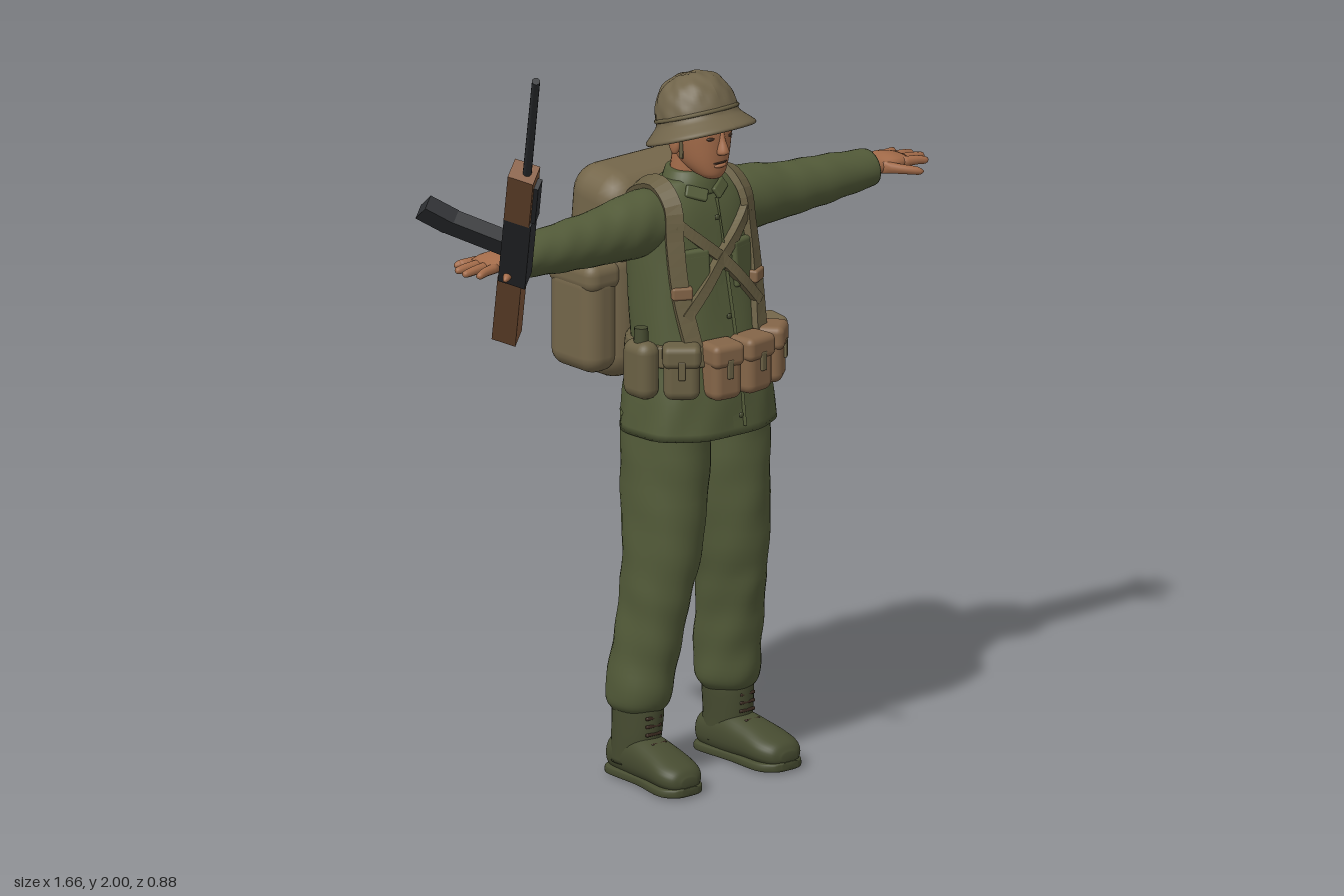
import * as THREE from 'three';
import { RoundedBoxGeometry } from 'three/addons/geometries/RoundedBoxGeometry.js';

const material = (name, color) => {
  const m = new THREE.MeshStandardMaterial({ color });
  m.name = name;
  return m;
};

// Axis maps for lofts: section position t, then the two directions across it
const UP = (t, u, v) => [u, t, v];
const SIDE = (t, u, v) => [t, v, u];
const FORWARD = (t, u, v) => [v, u, t];

// Smooth skin over superellipse sections [t, u, v, radiusU, radiusV]
function loft(sections, map, { power = 2, sides = 32, steps = 6, wrinkle = () => 0 } = {}) {
  const curve = (f) => new THREE.CatmullRomCurve3(sections.map(f), false, 'catmullrom', 0.5);
  const centre = curve((s) => new THREE.Vector3(s[0], s[1], s[2]));
  const radius = curve((s) => new THREE.Vector3(s[3], s[4], 0));
  const n = (sections.length - 1) * steps, pos = [], idx = [];
  const round = (c) => Math.sign(c) * Math.abs(c) ** (2 / power);
  for (let i = 0; i <= n; i++) {
    const c = centre.getPoint(i / n), r = radius.getPoint(i / n);
    for (let j = 0; j < sides; j++) {
      const a = (j / sides) * Math.PI * 2, k = 1 + wrinkle(a, c.x);
      pos.push(...map(c.x, c.y + r.x * k * round(Math.cos(a)), c.z + r.y * k * round(Math.sin(a))));
      if (i < n) {
        const p = i * sides + j, q = i * sides + (j + 1) % sides;
        idx.push(p, p + sides, q, q, p + sides, q + sides);
      }
    }
  }
  const first = pos.length / 3, last = n * sides;
  pos.push(...map(...sections[0].slice(0, 3)), ...map(...sections.at(-1).slice(0, 3)));
  for (let j = 0; j < sides; j++) {
    const k = (j + 1) % sides;
    idx.push(first, j, k, first + 1, last + k, last + j);
  }
  const g = new THREE.BufferGeometry();
  g.setAttribute('position', new THREE.Float32BufferAttribute(pos, 3));
  g.setIndex(idx);
  g.computeVertexNormals();
  return g;
}

// Copy of an indexed geometry reflected in x
function reflect(geometry) {
  const g = geometry.clone().scale(-1, 1, 1), a = g.index.array;
  for (let i = 0; i < a.length; i += 3) [a[i], a[i + 1]] = [a[i + 1], a[i]];
  g.computeVertexNormals();
  return g;
}

// Jacket sections [y, x, z, half width, half depth]
const JACKET = [
  [0.85, 0, -0.1, 0.19, 0.148], [0.95, 0, -0.1, 0.18, 0.138], [1.04, 0, -0.1, 0.165, 0.12],
  [1.15, 0, -0.115, 0.165, 0.112], [1.27, 0, -0.125, 0.165, 0.1], [1.36, 0, -0.13, 0.16, 0.088],
  [1.41, 0, -0.13, 0.135, 0.07], [1.445, 0, -0.13, 0.075, 0.05],
];
// Depth of the jacket front at x, y
function frontZ(x, y) {
  let i = 0;
  while (i < JACKET.length - 2 && JACKET[i + 1][0] < y) i++;
  const a = JACKET[i], b = JACKET[i + 1], k = Math.min(1, (y - a[0]) / (b[0] - a[0]));
  const mix = (j) => a[j] + (b[j] - a[j]) * k;
  return mix(2) + mix(4) * Math.max(0, 1 - Math.abs(x / mix(3)) ** 2.4) ** (1 / 2.4);
}

// Flat webbing along points; points without z lie on the jacket front
function webbing(points, width, thick = 0.012) {
  const curve = new THREE.CatmullRomCurve3(points.map(([x, y, z]) => new THREE.Vector3(x, y, z ?? frontZ(x, y) + 0.006)));
  const n = 24, pos = [], idx = [];
  for (let i = 0; i <= n; i++) {
    const p = curve.getPoint(i / n), tangent = curve.getTangent(i / n);
    const out = p.clone().sub(new THREE.Vector3(p.x * 0.6, Math.min(p.y, 1.34), -0.13)).normalize();
    const across = tangent.clone().cross(out).normalize();
    out.crossVectors(across, tangent).normalize();
    for (const [a, b] of [[-1, -1], [1, -1], [1, 1], [-1, 1]]) {
      const c = p.clone().addScaledVector(across, a * width / 2).addScaledVector(out, b * thick / 2);
      pos.push(c.x, c.y, c.z);
    }
    for (let j = 0; i < n && j < 4; j++) {
      const u = i * 4 + j, v = i * 4 + (j + 1) % 4;
      idx.push(u, v, u + 4, v, v + 4, u + 4);
    }
  }
  const g = new THREE.BufferGeometry();
  g.setAttribute('position', new THREE.Float32BufferAttribute(pos, 3));
  g.setIndex(idx);
  const flat = g.toNonIndexed();
  flat.computeVertexNormals();
  return flat;
}

export function createModel() {
  const model = new THREE.Group();
  const cloth = material('olive cloth', 0x535b39), leather = material('boot leather', 0x474c31);
  const canvas = material('pack canvas', 0x74664a), web = material('webbing', 0x6a6044);
  const skin = material('skin', 0xa46c4a), pouchTan = material('pouch tan', 0x846548);
  const cover = material('helmet cover', 0x70644a), steel = material('gunmetal', 0x2f3134);
  const wood = material('wood', 0x83593b), dark = material('dark detail', 0x3a2a20);
  web.side = THREE.DoubleSide;

  const body = new THREE.Group();
  body.name = 'soldier';
  body.position.x = 0.125;
  model.add(body);
  const add = (name, geometry, mat, [x, y, z] = [0, 0, 0], [rx, ry, rz] = [0, 0, 0], parent = body) => {
    const mesh = new THREE.Mesh(geometry, mat);
    mesh.name = name;
    mesh.position.set(x, y, z);
    mesh.rotation.set(rx, ry, rz);
    parent.add(mesh);
    return mesh;
  };
  const box = (w, h, d, r = 0.02) => new RoundedBoxGeometry(w, h, d, 3, Math.min(r, w * 0.49, h * 0.49, d * 0.49));
  const ball = (x, y, z) => new THREE.SphereGeometry(1, 20, 14).scale(x, y, z);
  const pair = (name, geometry, mat) => {
    add(name + 'Left', geometry, mat);
    add(name + 'Right', reflect(geometry), mat);
  };

  // Jacket with collar, placket and breast pockets
  add('jacket', loft(JACKET, UP, { power: 2.4, sides: 48, wrinkle: (a, y) => 0.012 * Math.sin(9 * a + 25 * y) * (y < 1.05 ? 1 : 0.4) }), cloth);
  add('collar', loft([[1.41, 0, -0.125, 0.08, 0.068], [1.44, 0, -0.125, 0.07, 0.062], [1.465, 0, -0.128, 0.058, 0.054]], UP), cloth);
  for (const s of [-1, 1]) {
    add('collarPoint', box(0.055, 0.03, 0.012, 0.005), cloth, [s * 0.036, 1.418, -0.062], [-0.5, s * 0.3, s * 0.5]);
    add('breastPocket', box(0.085, 0.1, 0.016, 0.007), cloth, [s * 0.078, 1.235, frontZ(0.078, 1.235)], [-0.08, s * 0.3, 0]);
    add('pocketFlap', box(0.09, 0.032, 0.024, 0.009), cloth, [s * 0.078, 1.28, frontZ(0.078, 1.28)], [-0.08, s * 0.3, 0]);
  }
  add('placket', webbing([[0, 0.87], [0, 1.0], [0, 1.2], [0, 1.4]], 0.03, 0.012), cloth);
  for (let i = 0; i < 5; i++) {
    const y = 0.9 + i * 0.115;
    add('button', ball(0.007, 0.007, 0.004), leather, [0, y, frontZ(0, y) + 0.012]);
  }

  // Sleeves and hands
  pair('sleeve', loft([
    [0.07, -0.13, 1.355, 0.065, 0.066], [0.16, -0.132, 1.352, 0.072, 0.078], [0.28, -0.13, 1.345, 0.064, 0.066],
    [0.4, -0.128, 1.345, 0.058, 0.058], [0.52, -0.128, 1.345, 0.051, 0.047], [0.545, -0.128, 1.345, 0.049, 0.044],
  ], SIDE, { wrinkle: (a, x) => 0.025 * Math.sin(70 * x + 2 * Math.sin(a)) * Math.sin(a * 2 + 9 * x) }), cloth);
  pair('palm', loft([[0.52, -0.128, 1.35, 0.03, 0.026], [0.56, -0.128, 1.35, 0.034, 0.022], [0.6, -0.128, 1.352, 0.046, 0.02], [0.64, -0.128, 1.35, 0.042, 0.013]], SIDE, { power: 2.4, sides: 20 }), skin);
  [0.69, 0.705, 0.7, 0.675].forEach((tip, i) => {
    const z = -0.095 - i * 0.023, zEnd = -0.083 - i * 0.032;
    pair('finger', loft([[0.62, z, 1.35, 0.012, 0.012], [0.66, (z + zEnd) / 2, 1.349, 0.011, 0.011], [tip - 0.008, zEnd, 1.346, 0.009, 0.009], [tip, zEnd, 1.346, 0.004, 0.004]], SIDE, { sides: 10, steps: 3 }), skin);
  });
  pair('thumb', loft([[0.565, -0.105, 1.348, 0.016, 0.016], [0.6, -0.073, 1.343, 0.016, 0.012], [0.63, -0.05, 1.338, 0.011, 0.01], [0.642, -0.044, 1.336, 0.004, 0.004]], SIDE, { sides: 12, steps: 3 }), skin);

  // Bloused trousers and boots
  pair('trouserLeg', loft([
    [0.165, 0.138, -0.155, 0.052, 0.062], [0.2, 0.136, -0.152, 0.071, 0.083], [0.3, 0.128, -0.14, 0.07, 0.09], [0.42, 0.118, -0.12, 0.072, 0.093],
    [0.55, 0.105, -0.106, 0.082, 0.104], [0.72, 0.094, -0.108, 0.092, 0.117], [0.89, 0.09, -0.108, 0.095, 0.12],
  ], UP, { wrinkle: (a, y) => (y < 0.5 ? 0.035 : 0.018) * Math.sin(3 * a + 42 * y) * Math.cos(2 * a - 15 * y) }), cloth);
  pair('bootShaft', loft([[0.04, 0.14, -0.165, 0.05, 0.062], [0.1, 0.14, -0.155, 0.052, 0.066], [0.16, 0.138, -0.152, 0.055, 0.068], [0.19, 0.138, -0.152, 0.055, 0.068]], UP), leather);
  pair('bootFoot', loft([
    [-0.228, 0.05, 0.136, 0.025, 0.025], [-0.21, 0.055, 0.137, 0.045, 0.045], [-0.13, 0.06, 0.14, 0.055, 0.053],
    [-0.06, 0.055, 0.145, 0.047, 0.057], [0.0, 0.046, 0.15, 0.036, 0.06], [0.035, 0.04, 0.152, 0.028, 0.046], [0.05, 0.036, 0.153, 0.012, 0.022],
  ], FORWARD, { power: 2.3 }), leather);
  pair('bootSole', loft([
    [-0.232, 0.013, 0.136, 0.013, 0.025], [-0.21, 0.013, 0.137, 0.013, 0.047], [-0.1, 0.013, 0.142, 0.013, 0.05],
    [0.0, 0.013, 0.15, 0.013, 0.063], [0.04, 0.014, 0.152, 0.012, 0.045], [0.053, 0.016, 0.153, 0.01, 0.022],
  ], FORWARD, { power: 4 }), leather);
  for (const s of [-1, 1]) for (let i = 0; i < 4; i++) {
    add('lace', box(0.045, 0.008, 0.01, 0.003), dark, [s * 0.143, 0.1 + i * 0.02, -0.09 + (i ? 0 : 0.018)], [-0.2, 0, 0]);
  }

  // Neck, head and face
  add('neck', new THREE.CylinderGeometry(0.046, 0.052, 0.12, 24), skin, [0, 1.465, -0.122], [0.12, 0, 0]);
  add('head', loft([
    [1.455, 0, -0.05, 0.02, 0.022], [1.468, 0, -0.062, 0.036, 0.042], [1.495, 0, -0.08, 0.052, 0.064], [1.535, 0, -0.09, 0.062, 0.077],
    [1.575, 0, -0.092, 0.066, 0.08], [1.62, 0, -0.095, 0.064, 0.078], [1.65, 0, -0.1, 0.04, 0.05],
  ], UP, { power: 2.2 }), skin);
  add('nose', loft([[1.517, 0, -0.014, 0.012, 0.012], [1.525, 0, -0.011, 0.015, 0.017], [1.55, 0, -0.017, 0.009, 0.014], [1.57, 0, -0.022, 0.008, 0.012]], UP, { sides: 14 }), skin);
  add('mouth', ball(0.022, 0.004, 0.008), dark, [0, 1.496, -0.022]);
  add('lowerLip', ball(0.018, 0.006, 0.01), skin, [0, 1.489, -0.021]);
  for (const s of [-1, 1]) {
    add('eye', ball(0.011, 0.0045, 0.005), dark, [s * 0.028, 1.557, -0.0205], [0, s * 0.25, 0]);
    add('eyebrow', box(0.032, 0.007, 0.01, 0.003), dark, [s * 0.029, 1.573, -0.021], [0, s * 0.28, s * -0.08]);
    add('ear', ball(0.01, 0.026, 0.016), skin, [s * 0.066, 1.535, -0.105]);
    add('chinStrap', box(0.006, 0.11, 0.012, 0.002), web, [s * 0.063, 1.555, -0.085], [0.1, 0, s * -0.1]);
  }

  // Helmet: tilted bowl with a lumpy cloth cover
  const profile = [[0.118, -0.022], [0.13, -0.022], [0.132, -0.014], [0.114, 0.004], [0.1, 0.02], [0.097, 0.045], [0.089, 0.075], [0.072, 0.102], [0.045, 0.12], [0.02, 0.126], [0, 0.127]];
  const bowl = new THREE.LatheGeometry(new THREE.SplineCurve(profile.map((p) => new THREE.Vector2(...p))).getPoints(40), 64);
  const bp = bowl.attributes.position;
  for (let i = 0; i < bp.count; i++) {
    const x = bp.getX(i), y = bp.getY(i), z = bp.getZ(i);
    const k = 1 + (y > 0.02 ? 0.016 * Math.sin(110 * x) * Math.sin(110 * z) + 0.01 * Math.sin(130 * y) * Math.sin(12 * Math.atan2(z, x)) : 0);
    bp.setXYZ(i, x * k, y * k, z * k * 0.96);
  }
  bowl.computeVertexNormals();
  const helmet = new THREE.Group();
  helmet.name = 'helmet';
  helmet.position.set(0, 1.568, -0.093);
  helmet.rotation.x = -0.33;
  body.add(helmet);
  add('helmetShell', bowl, cover, undefined, undefined, helmet);
  add('helmetLining', new THREE.CylinderGeometry(0.1, 0.122, 0.03, 40), cover, [0, -0.007, 0], undefined, helmet).scale.z = 0.96;
  add('helmetBand', new THREE.TorusGeometry(0.098, 0.005, 8, 48).rotateX(Math.PI / 2), web, [0, 0.03, 0], undefined, helmet).scale.z = 0.96;

  // Webbing: shoulder straps, crossed chest straps and belt
  for (const s of [-1, 1]) {
    add('shoulderStrap', webbing([[s * 0.1, 1.06], [s * 0.115, 1.2], [s * 0.115, 1.32], [s * 0.11, 1.4, -0.062], [s * 0.105, 1.442, -0.12], [s * 0.1, 1.41, -0.205], [s * 0.09, 1.33, -0.24]], 0.042, 0.018), web);
    add('chestStrap', webbing([[s * 0.105, 1.36], [s * 0.05, 1.31], [0, 1.265], [s * -0.05, 1.21], [s * -0.11, 1.14]], 0.026, 0.024), web);
    add('strapBuckle', box(0.05, 0.03, 0.024, 0.006), pouchTan, [s * 0.114, 1.2, frontZ(0.114, 1.2) + 0.01], [0, s * 0.5, 0]);
  }
  add('belt', loft([[1.025, 0, -0.1, 0.178, 0.131], [1.032, 0, -0.1, 0.181, 0.134], [1.068, 0, -0.1, 0.178, 0.131], [1.075, 0, -0.1, 0.174, 0.127]], UP, { power: 2.4, sides: 48 }), web);

  // Pouches, water bottle and knife on the belt
  const pouch = (name, mat, [w, h, d], place, turn) => {
    const g = new THREE.Group();
    g.name = name;
    g.position.set(...place);
    g.rotation.y = turn;
    body.add(g);
    add('pouchBody', box(w, h, d, 0.022), mat, undefined, undefined, g);
    add('pouchFlap', box(w * 1.06, h * 0.42, d * 1.1, 0.016), mat, [0, h * 0.31, 0.002], undefined, g);
    add('pouchTab', box(w * 0.2, h * 0.34, 0.008, 0.003), web, [0, h * 0.08, d * 0.55], undefined, g);
  };
  pouch('ammoPouch', pouchTan, [0.082, 0.135, 0.07], [-0.046, 1.015, 0.038], -0.12);
  pouch('ammoPouch', pouchTan, [0.086, 0.135, 0.07], [0.046, 1.015, 0.038], 0.12);
  pouch('ammoPouch', pouchTan, [0.082, 0.135, 0.07], [0.132, 1.015, 0.002], 0.7);
  pouch('sidePouch', web, [0.085, 0.13, 0.06], [-0.135, 1.02, 0.0], -0.7);
  pouch('sidePouch', canvas, [0.075, 0.12, 0.055], [0.19, 1.015, -0.065], 1.4);
  add('waterBottle', box(0.06, 0.14, 0.09, 0.028), web, [-0.19, 1.02, -0.08]);
  add('bottleCap', new THREE.CylinderGeometry(0.016, 0.018, 0.04, 16), leather, [-0.19, 1.1, -0.08]);
  add('knifeSheath', box(0.022, 0.17, 0.034, 0.01), leather, [0.192, 0.97, -0.14]);
  add('knifeHandle', box(0.02, 0.07, 0.024, 0.009), dark, [0.192, 1.08, -0.14]);

  // Backpack: body, rolled top, back pocket and side pockets
  add('packBody', box(0.35, 0.34, 0.2, 0.065), canvas, [0, 1.112, -0.305]);
  add('packTop', box(0.335, 0.21, 0.19, 0.07), canvas, [0, 1.338, -0.298], [0.1, 0, 0]);
  add('packLid', box(0.315, 0.075, 0.205, 0.035), canvas, [0, 1.262, -0.303]);
  add('backPocket', box(0.265, 0.23, 0.1, 0.045), canvas, [0, 1.08, -0.39]);
  add('backPocketFlap', box(0.275, 0.085, 0.1, 0.035), canvas, [0, 1.185, -0.388], [0.12, 0, 0]);
  for (const s of [-1, 1]) {
    add('sidePocket', box(0.1, 0.25, 0.165, 0.042), canvas, [s * 0.18, 1.095, -0.295]);
    add('sidePocketFlap', box(0.105, 0.075, 0.17, 0.03), canvas, [s * 0.178, 1.205, -0.295]);
    add('packStrap', box(0.02, 0.13, 0.008, 0.003), web, [s * 0.07, 1.15, -0.441], [0.05, 0, 0]);
    add('lidStrap', box(0.02, 0.15, 0.008, 0.003), web, [s * 0.085, 1.31, -0.4], [0.1, 0, 0]);
  }

  // Rifle: local y runs along the barrel to the muzzle, local x towards the magazine
  const rifle = new THREE.Group();
  rifle.name = 'rifle';
  const along = new THREE.Vector3(-0.48, 0.87, 0.64).normalize();
  const down = new THREE.Vector3(-0.147, 0.08, -0.17);
  down.addScaledVector(along, -down.dot(along)).normalize();
  rifle.quaternion.setFromRotationMatrix(new THREE.Matrix4().makeBasis(down, along, down.clone().cross(along)));
  rifle.position.set(-0.825, 1.995, 0.425);
  model.add(rifle);
  const part = (name, geometry, mat, place, turn) => add(name, geometry, mat, place, turn, rifle);
  part('barrel', new THREE.CylinderGeometry(0.0095, 0.0105, 0.5, 14), steel, [0, -0.25, 0]);
  part('handguard', new THREE.BoxGeometry(0.062, 0.2, 0.052), wood, [0.008, -0.525, 0]);
  part('gasTube', new THREE.BoxGeometry(0.016, 0.16, 0.03), steel, [-0.026, -0.54, 0]);
  part('receiver', new THREE.BoxGeometry(0.066, 0.29, 0.05), steel, [0.006, -0.765, 0]);
  part('stock', new THREE.BoxGeometry(0.058, 0.29, 0.046), wood, [0.012, -1.04, 0]);
  part('magazine', new THREE.BoxGeometry(0.17, 0.06, 0.036), steel, [0.1, -0.765, 0], [0, 0, 0.12]);
  part('magazineEnd', new THREE.BoxGeometry(0.075, 0.062, 0.038), steel, [0.205, -0.744, 0], [0, 0, 0.35]);
  return model;
}
